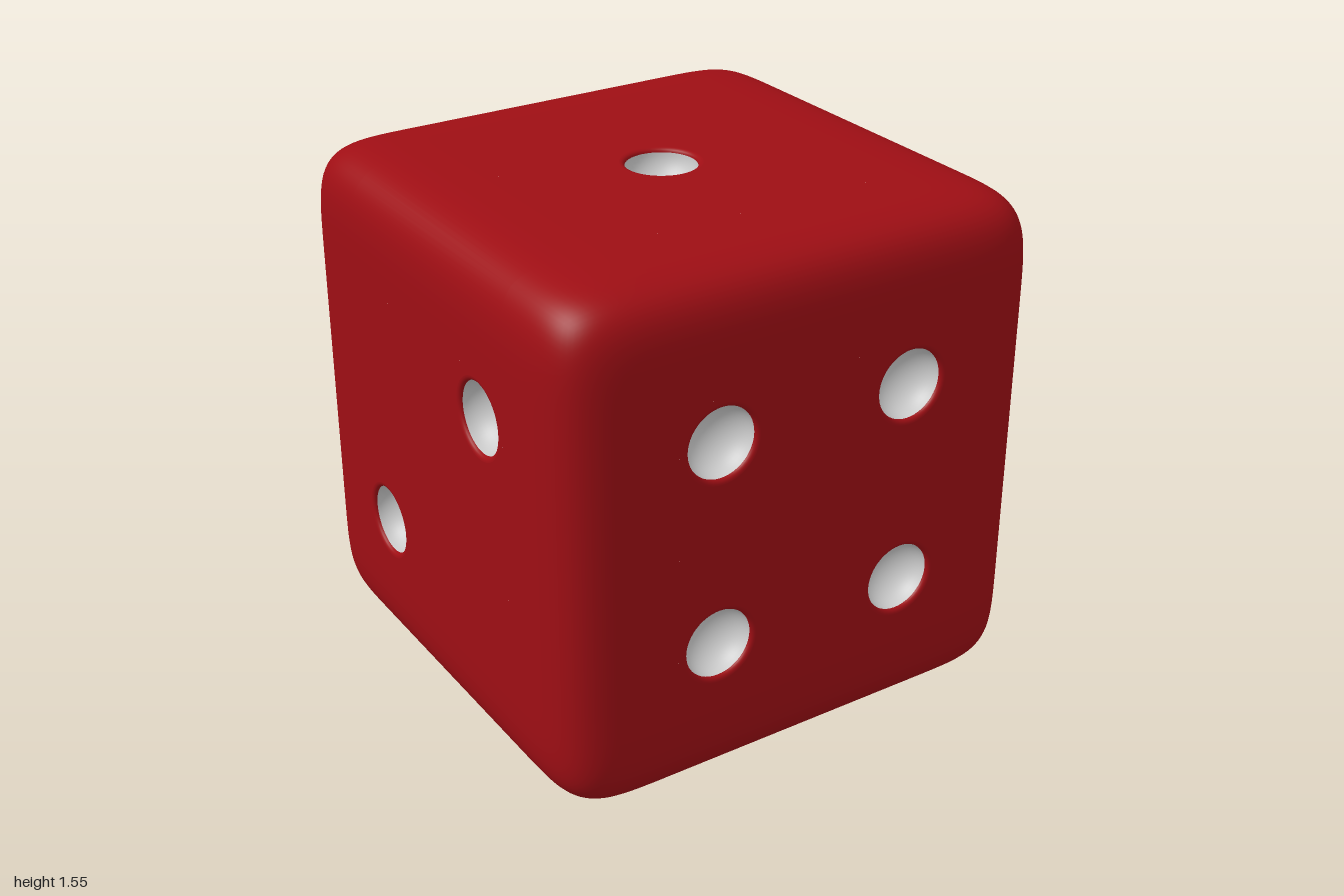
import * as THREE from 'three';

const HALF = 0.777;    // half the cube's side
const CORE = 0.377;    // half the inner box that the soft rounding wraps
const ROUND = HALF - CORE;
const POWER = 5.5;     // squareness of the rounding
const PANEL = 0.445;   // half the flat middle of each face
const STEP = 0.31;     // spacing of the pips
const RIM = 0.12, PIP = 0.105, LIP = 0.012;

const red = new THREE.MeshStandardMaterial({ color: 0x9e0e14 });
const grey = new THREE.MeshStandardMaterial({ color: 0xcccccc });

// Rounded cube shell, left open at the flat middle of every face
function shellGeometry() {
  const k = 14, n = 2 * k + 1;
  const geo = new THREE.BoxGeometry(n, n, n, n, n, n);
  const pos = geo.attributes.position, nor = geo.attributes.normal;

  // Grid lines: k steps along each rounded border, one wide cell between
  const place = (g) => {
    const t = (Math.abs(g) - 0.5) / k;
    return Math.sign(g) * (PANEL + (HALF - PANEL) * t);
  };
  const points = [];
  for (let i = 0; i < pos.count; i++) {
    points.push([pos.getX(i), pos.getY(i), pos.getZ(i)].map(place));
  }

  // Drop the middle cells
  const kept = [];
  const middle = (i) => points[i].filter((c) => Math.abs(c) < PANEL + 1e-4).length === 2;
  for (let i = 0; i < geo.index.count; i += 3) {
    const tri = [0, 1, 2].map((j) => geo.index.getX(i + j));
    if (!tri.every(middle)) kept.push(...tri);
  }
  geo.setIndex(kept);

  // Pull the border onto the soft rounding
  points.forEach((p, i) => {
    const d = p.map((c) => Math.max(Math.abs(c) - CORE, 0));
    const len = Math.pow(d.reduce((s, c) => s + Math.pow(c, POWER), 0), 1 / POWER);
    const q = p.map((c, j) => Math.sign(c) * (Math.min(Math.abs(c), CORE) + d[j] * ROUND / len));
    const m = new THREE.Vector3(
      ...p.map((c, j) => Math.sign(c) * Math.pow(d[j] / len, POWER - 1))).normalize();
    pos.setXYZ(i, ...q);
    nor.setXYZ(i, m.x, m.y, m.z);
  });
  return geo;
}

// Flat middle of a face with a round hole for each pip
function panelGeometry(pips) {
  const s = new THREE.Shape();
  s.moveTo(-PANEL, -PANEL).lineTo(PANEL, -PANEL).lineTo(PANEL, PANEL).lineTo(-PANEL, PANEL).closePath();
  for (const [u, v] of pips) {
    s.holes.push(new THREE.Path().absarc(u * STEP, v * STEP, RIM, 0, Math.PI * 2, true));
  }
  return new THREE.ShapeGeometry(s, 24);
}

// Turned profiles: rounded lip, then hollow bowl, both opening to +z
const turned = (points) => new THREE.LatheGeometry(points, 48).rotateX(Math.PI / 2);
const arc = (count, f) => Array.from({ length: count + 1 }, (_, i) => {
  const a = (i / count) * Math.PI / 2;
  return new THREE.Vector2(...f(Math.cos(a), Math.sin(a)));
});
const lipGeometry = turned(arc(5, (c, s) => [RIM - (RIM - PIP) * s, -LIP * (1 - c)]));
const bowlGeometry = turned(arc(14, (c, s) => [PIP * c, -LIP - 0.09 * s]));

const Q = Math.PI / 2;
const corners = [[-1, 1], [1, 1], [-1, -1], [1, -1]];
const faces = [
  { name: 'frontFace', turn: [0, 0], pips: corners },
  { name: 'leftFace', turn: [0, Q], pips: [...corners, [-1, 0], [1, 0]] },
  { name: 'backFace', turn: [0, 2 * Q], pips: [[-1, 1], [0, 0], [1, -1]] },
  { name: 'rightFace', turn: [0, -Q], pips: [[1, 1], [-1, -1]] },
  { name: 'topFace', turn: [-Q, 0], pips: [[0, 0]] },
  { name: 'bottomFace', turn: [Q, 0], pips: [...corners, [0, 0]] },
];

function addMesh(parent, name, geometry, material) {
  const mesh = new THREE.Mesh(geometry, material);
  mesh.name = name;
  parent.add(mesh);
  return mesh;
}

export function createModel() {
  const model = new THREE.Group();
  model.name = 'die';
  const cube = new THREE.Group();
  cube.name = 'cube';
  cube.position.y = HALF;
  cube.rotation.y = Math.PI / 6;
  model.add(cube);

  addMesh(cube, 'roundedShell', shellGeometry(), red);

  for (const { name, turn, pips } of faces) {
    const face = new THREE.Group();
    face.name = name;
    face.rotation.set(turn[0], turn[1], 0);
    cube.add(face);
    addMesh(face, 'facePanel', panelGeometry(pips), red).position.z = HALF;
    for (const [u, v] of pips) {
      addMesh(face, 'pipLip', lipGeometry, red).position.set(u * STEP, v * STEP, HALF);
      addMesh(face, 'pip', bowlGeometry, grey).position.set(u * STEP, v * STEP, HALF);
    }
  }
  return model;
}
